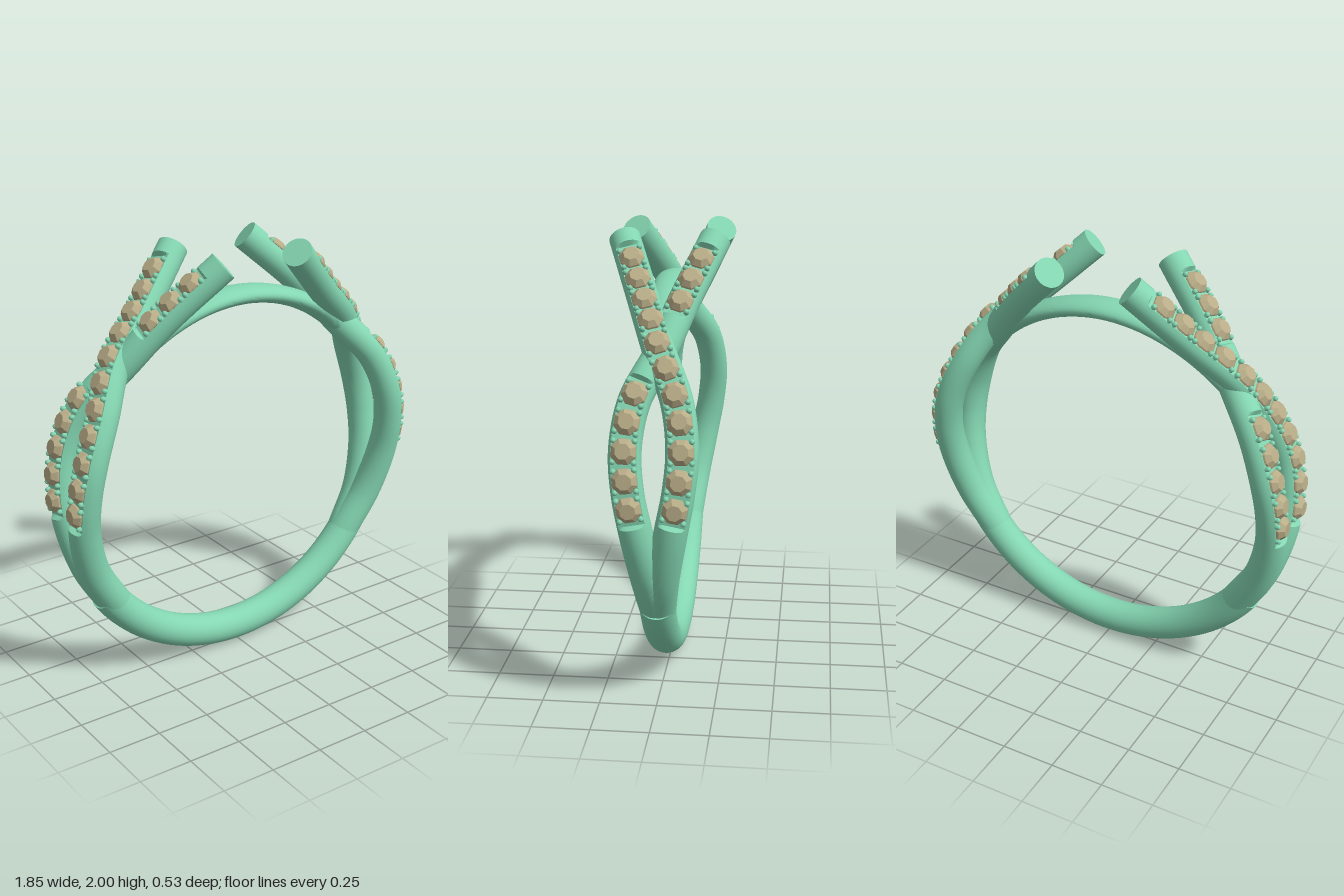
import * as THREE from 'three';
import { toCreasedNormals } from 'three/addons/utils/BufferGeometryUtils.js';

const metal = new THREE.MeshStandardMaterial({ color: 0x84d6b2 });
const stone = new THREE.MeshStandardMaterial({ color: 0xb9ad88, flatShading: true });
const CY = 0.93; // height of the ring centre

// Frame on a curve: tangent T, outward normal N (in the xy plane), sideways B
function frameAt(curve, u) {
  const P = curve.getPointAt(u), T = curve.getTangentAt(u);
  const N = new THREE.Vector3(T.y, -T.x, 0).normalize();
  const B = new THREE.Vector3().crossVectors(T, N);
  return { P, T, N, B };
}

// Sweep an ellipse along a curve; section(u) gives half sizes a (outward), b (sideways)
// and an optional flat cut on the outward side
function sweep(curve, steps, sides, section) {
  const pos = [], idx = [];
  for (let i = 0; i <= steps; i++) {
    const u = i / steps, { P, N, B } = frameAt(curve, u), { a, b, cut = 1 } = section(u);
    for (let j = 0; j < sides; j++) {
      const f = (j / sides) * Math.PI * 2;
      const p = P.clone().addScaledVector(N, Math.min(a * Math.cos(f), cut)).addScaledVector(B, b * Math.sin(f));
      pos.push(p.x, p.y, p.z);
    }
  }
  for (let i = 0; i < steps; i++) for (let j = 0; j < sides; j++) {
    const k = (j + 1) % sides, r = i * sides, s = r + sides;
    idx.push(r + j, r + k, s + k, r + j, s + k, s + j);
  }
  // End caps
  const last = steps * sides;
  for (let j = 1; j < sides - 1; j++) {
    idx.push(0, j + 1, j);
    idx.push(last, last + j, last + j + 1);
  }
  const g = new THREE.BufferGeometry();
  g.setAttribute('position', new THREE.Float32BufferAttribute(pos, 3));
  g.setIndex(idx);
  return toCreasedNormals(g, 0.6);
}

function arc(radius, from, to) {
  const pts = [];
  for (let i = 0; i <= 24; i++) {
    const t = THREE.MathUtils.degToRad(from + (to - from) * i / 24);
    const r = radius(i / 24);
    pts.push(new THREE.Vector3(r * Math.cos(t), CY + r * Math.sin(t), 0));
  }
  return new THREE.CatmullRomCurve3(pts);
}

function mesh(name, geo, mat) {
  const m = new THREE.Mesh(geo, mat);
  m.name = name;
  return m;
}

// Faceted round stone: crown and pavilion, axis along y
const gemGeo = new THREE.LatheGeometry(
  [[0, -0.045], [0.057, 0], [0.055, 0.008], [0.034, 0.03], [0, 0.03]].map(([x, y]) => new THREE.Vector2(x, y)), 8);
const prongGeo = new THREE.CapsuleGeometry(0.012, 0.03, 3, 8);

// One strand of a shoulder; side = -1 or +1 is the z side of its lower half
function strand(name, side, lift, skip) {
  const group = new THREE.Group();
  group.name = name;
  const path = [
    [0.67, 0.407, 0], [0.783, 0.6, 0.03], [0.843, 0.82, 0.072], [0.847, 1.0, 0.105], [0.815, 1.17, 0.117],
    [0.739, 1.35, 0.088], [0.615 + lift, 1.535 + lift, 0], [0.43, 1.722, -0.088], [0.195, 1.95, -0.198],
  ];
  const curve = new THREE.CatmullRomCurve3(path.map(([x, y, z]) => new THREE.Vector3(x, y, z * side)));
  curve.arcLengthDivisions = 800;
  const atHeight = (y) => {
    let lo = 0, hi = 1;
    for (let i = 0; i < 30; i++) {
      const m = (lo + hi) / 2;
      if (curve.getPointAt(m).y < y) lo = m; else hi = m;
    }
    return lo;
  };
  const u0 = atHeight(0.935), u1 = atHeight(1.85), gap = (u1 - u0) / 10;
  const seats = [];
  for (let i = 0; i <= 10; i++) if (!skip.includes(i)) seats.push(u0 + gap * i);

  // Round bar, cut flat where stones sit
  group.add(mesh(name + 'Bar', sweep(curve, 180, 28, (u) => {
    const r = 0.069 + 0.008 * Math.max(0, 1 - u * 3);
    const seated = seats.some((s) => Math.abs(u - s) < gap * 0.6);
    return { a: r, b: r, cut: seated ? 0.043 : 1 };
  }), metal));

  // Stones with four prongs each
  for (const u of seats) {
    const { P, T, N, B } = frameAt(curve, u);
    const seat = new THREE.Group();
    seat.name = 'stoneSetting';
    seat.position.copy(P);
    seat.quaternion.setFromRotationMatrix(new THREE.Matrix4().makeBasis(T, N, B.clone()
      .crossVectors(T, N)));
    const gem = mesh('stone', gemGeo, stone);
    gem.position.y = 0.046;
    gem.rotation.y = Math.PI / 8;
    seat.add(gem);
    for (const sx of [-1, 1]) for (const sz of [-1, 1]) {
      const prong = mesh('prong', prongGeo, metal);
      prong.position.set(sx * 0.044, 0.036, sz * 0.044);
      seat.add(prong);
    }
    group.add(seat);
  }
  return group;
}

export function createModel() {
  const model = new THREE.Group();
  model.name = 'ring';

  // Lower band
  const band = arc(() => 0.852, 180 + 34, 360 - 34);
  model.add(mesh('lowerBand', sweep(band, 96, 32, () => ({ a: 0.078, b: 0.078 })), metal));

  // Thin bridge over the top, rounder where it joins the shoulders
  const bridge = arc((t) => 0.812 + 0.02 * Math.abs(2 * t - 1) ** 3, 41, 139);
  model.add(mesh('topBridge', sweep(bridge, 64, 28, (u) => {
    const e = Math.abs(2 * u - 1) ** 3;
    return { a: 0.042 + 0.012 * e, b: 0.083 - 0.025 * e };
  }), metal));

  // Crossing shoulders, repeated by a half turn
  for (const turn of [0, Math.PI]) {
    const shoulder = new THREE.Group();
    shoulder.name = turn ? 'rightShoulder' : 'leftShoulder';
    shoulder.add(strand('overStrand', -1, 0.008, []));
    shoulder.add(strand('underStrand', 1, -0.016, [5, 6, 7]));
    shoulder.rotation.y = turn;
    model.add(shoulder);
  }
  return model;
}
